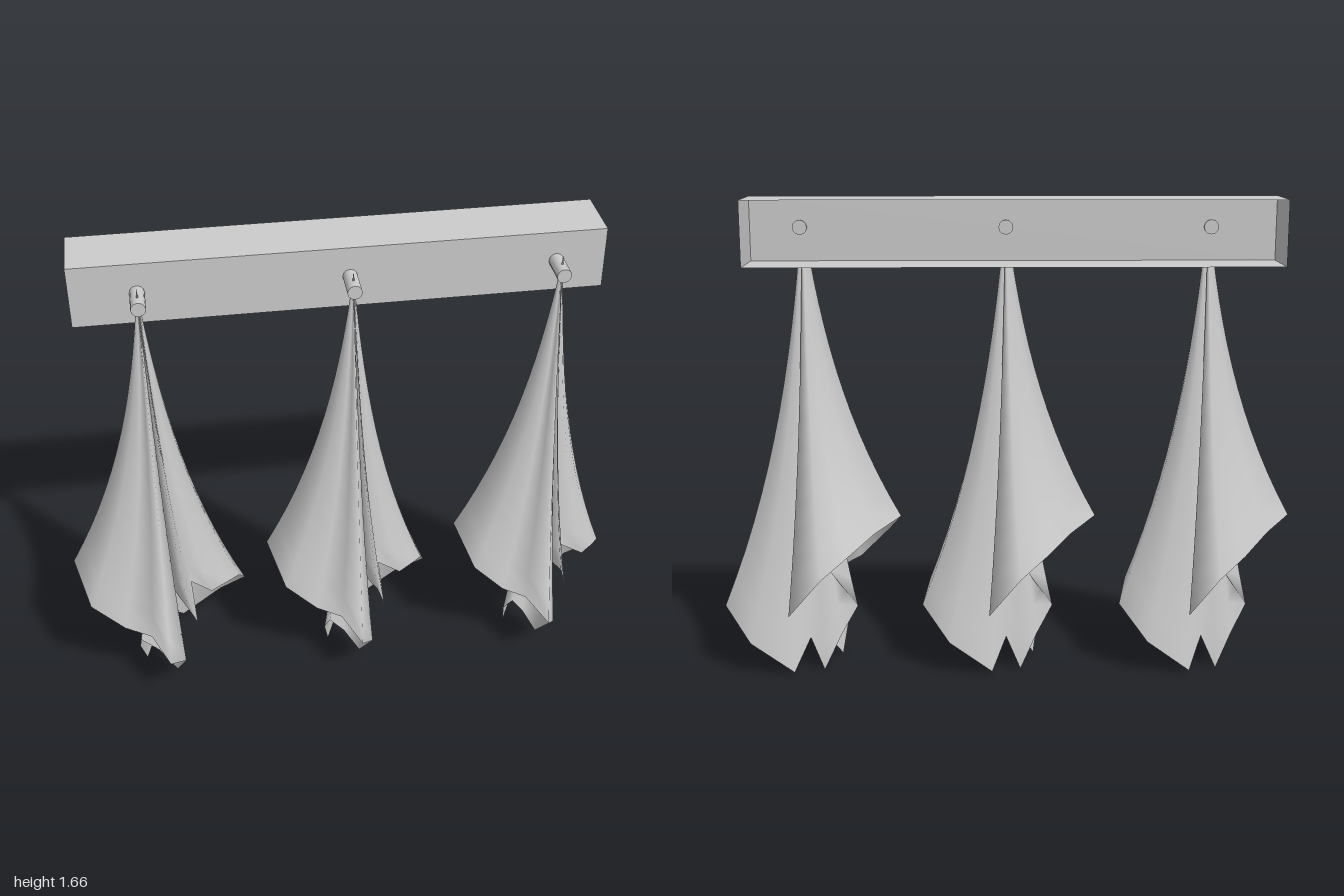
import * as THREE from 'three';

const cloth = new THREE.MeshStandardMaterial({ color: 0xcccccc, side: THREE.DoubleSide });
const solid = new THREE.MeshStandardMaterial({ color: 0xcccccc });

// Where each fold of a towel ends at the hem, in order around the peg: x, y, z
const HEM = [
  // front left panel, down to the front corner
  [-0.32, 0.53, 0.0], [-0.27, 0.44, 0.155], [-0.16, 0.33, 0.165], [-0.07, 0.28, 0.17],
  [-0.01, 0.25, 0.29], [0.045, 0.15, 0.18], [0.01, 0.01, 0.08],
  // inner folds
  [-0.05, 0.13, 0.09], [-0.11, 0.24, 0.14], [-0.12, 0.13, 0.06], [-0.1, 0.01, 0.0],
  [-0.05, 0.1, -0.06], [0.01, 0.4, 0.02],
  // front right folds
  [0.04, 0.36, 0.06], [0.07, 0.36, 0.13], [0.1, 0.26, 0.1], [0.09, 0.4, 0.03],
  [0.16, 0.39, 0.08],
  // right panel, down to the back corner
  [0.23, 0.36, 0.0], [0.27, 0.32, -0.07], [0.295, 0.245, -0.14], [0.2, 0.13, -0.215],
  [0.05, 0.02, -0.21],
  // inner folds at the back
  [0.0, 0.12, -0.13], [-0.05, 0.01, -0.16], [-0.11, 0.13, -0.12], [-0.165, 0.22, -0.08],
  [-0.06, 0.38, -0.12],
  // back panel
  [0.06, 0.24, -0.25], [-0.05, 0.36, -0.22], [-0.14, 0.43, -0.18], [-0.23, 0.49, -0.09],
];
const TOP = 1.61, APEX_Z = -0.01, ROWS = 14;

// Sheet of folds fanning from the peg down to the hem, fuller in depth than in width
function towelGeometry() {
  const pos = [], index = [], n = HEM.length;
  for (let r = 0; r <= ROWS; r++) {
    const t = r / ROWS;
    const wide = 0.45 * t + 0.55 * Math.pow(t, 2.6);
    const deep = 0.75 * t + 0.25 * Math.pow(t, 2.6);
    for (const [x, y, z] of HEM) {
      pos.push(x * wide, TOP + (y - TOP) * t, APEX_Z + (z - APEX_Z) * deep);
    }
  }
  for (let r = 0; r < ROWS; r++) {
    for (let i = 0; i < n; i++) {
      const j = (i + 1) % n;
      const a = r * n + i, b = r * n + j, c = a + n, d = b + n;
      if (r > 0) index.push(a, d, b);
      index.push(a, c, d);
    }
  }
  const g = new THREE.BufferGeometry();
  g.setAttribute('position', new THREE.Float32BufferAttribute(pos, 3));
  g.setIndex(index);
  g.computeVertexNormals();
  return g;
}

export function createModel() {
  const model = new THREE.Group();

  // Wall rail: a box left open at the back
  const railGeometry = new THREE.BoxGeometry(1.775, 0.217, 0.21);
  railGeometry.setIndex(Array.from(railGeometry.index.array).slice(0, 30));
  const rail = new THREE.Mesh(railGeometry, cloth);
  rail.name = 'rail';
  rail.position.set(-0.014, 1.561, -0.187);
  model.add(rail);

  // Three pegs, each with a towel hanging by its middle
  const towelShape = towelGeometry();
  const pegShape = new THREE.CylinderGeometry(0.025, 0.025, 0.115, 12).rotateX(Math.PI / 2);
  const tipShape = new THREE.ConeGeometry(0.008, 0.07, 5);
  for (const x of [-0.682, 0.012, 0.706]) {
    const set = new THREE.Group();
    set.name = 'pegWithTowel';
    set.position.x = x;

    const peg = new THREE.Mesh(pegShape, solid);
    peg.name = 'peg';
    peg.position.set(0, 1.565, -0.031);

    const towel = new THREE.Mesh(towelShape, cloth);
    towel.name = 'towel';

    const tip = new THREE.Mesh(tipShape, solid);
    tip.name = 'towelTip';
    tip.position.set(0, 1.588, APEX_Z);

    set.add(peg, towel, tip);
    model.add(set);
  }
  return model;
}
